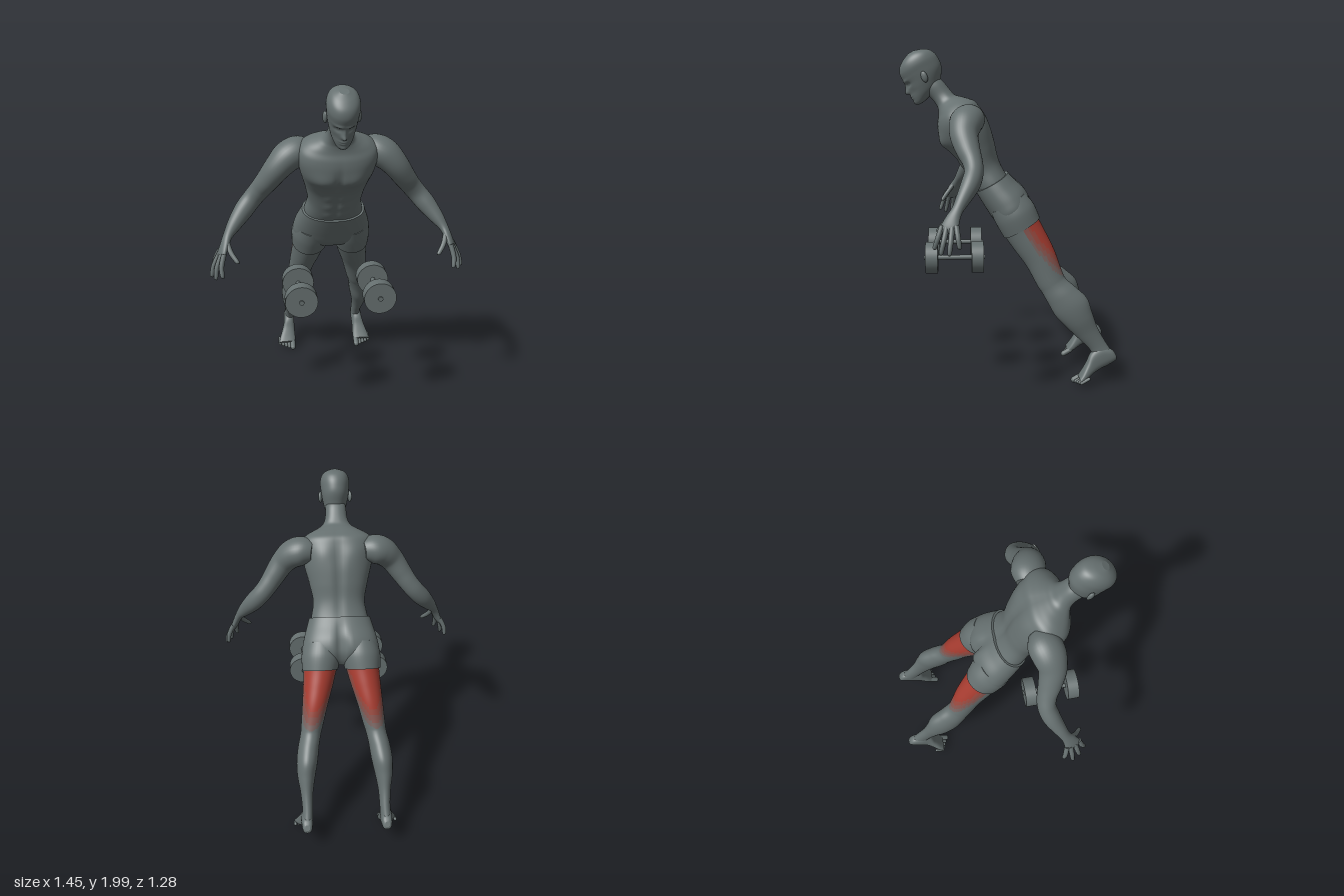
import * as THREE from 'three';

const flat = (name, color) => Object.assign(new THREE.MeshStandardMaterial({ color }), { name });
const grey = flat('grey', 0x667070);
const legColours = [grey, flat('red', 0xa63c30), flat('fadedRed', 0x96483e),
  flat('dullRed', 0x86544e), flat('greyRed', 0x76625f)];

// Catmull-Rom interpolation of rows of numbers, k steps per span
function smooth(rows, k) {
  const out = [], last = rows.length - 1;
  for (let i = 0; i < last; i++) {
    const [p, q, r, s] = [rows[Math.max(i - 1, 0)], rows[i], rows[i + 1], rows[Math.min(i + 2, last)]];
    for (let j = 0; j < k; j++) {
      const t = j / k;
      out.push(q.map((b, c) => b + 0.5 * t * (r[c] - p[c] + t * (2 * p[c] - 5 * b + 4 * r[c] - s[c]
        + t * (3 * (b - r[c]) + s[c] - p[c])))));
    }
  }
  out.push(rows[last]);
  return out;
}

// Skin a closed solid over rings of points; pick(i, j) selects a material
function skin(name, rings, pick) {
  const n = rings[0].length, m = rings.length, pos = rings.flat().flatMap(p => p.toArray());
  const buckets = legColours.map(() => []);
  let volume = 0;
  const middle = rings[m >> 1][0].clone();
  const tri = (set, a, b, c) => {
    set.push(a, b, c);
    const v = [a, b, c].map(q => new THREE.Vector3().fromArray(pos, q * 3).sub(middle));
    volume += v[0].dot(v[1].cross(v[2]));
  };
  for (let i = 0; i < m - 1; i++) for (let j = 0; j < n; j++) {
    const k = (j + 1) % n, set = buckets[pick ? pick(i, j) : 0];
    tri(set, i * n + j, (i + 1) * n + j, i * n + k);
    tri(set, i * n + k, (i + 1) * n + j, (i + 1) * n + k);
  }
  for (const end of [0, m - 1]) {
    const base = pos.length / 3, mid = new THREE.Vector3();
    rings[end].forEach(p => { mid.addScaledVector(p, 1 / n); pos.push(p.x, p.y, p.z); });
    pos.push(mid.x, mid.y, mid.z);
    for (let j = 0; j < n; j++) {
      const a = base + j, b = base + (j + 1) % n;
      end ? tri(buckets[0], a, base + n, b) : tri(buckets[0], b, base + n, a);
    }
  }
  const index = buckets.flat();
  if (volume < 0) for (let i = 0; i < index.length; i += 3) [index[i], index[i + 1]] = [index[i + 1], index[i]];
  const geo = new THREE.BufferGeometry();
  geo.setAttribute('position', new THREE.Float32BufferAttribute(pos, 3));
  geo.setIndex(index);
  geo.computeVertexNormals();
  if (pick) {
    let start = 0;
    buckets.forEach((b, i) => { geo.addGroup(start, b.length, i); start += b.length; });
  }
  const mesh = new THREE.Mesh(geo, pick ? legColours : grey);
  mesh.name = name;
  return mesh;
}

const around = n => Array.from({ length: n }, (_, j) => j / n * Math.PI * 2);
const power = (v, e) => Math.sign(v) * Math.abs(v) ** e;

// Upright solid from rows [height, centre x, back, front, half width];
// bumps are [x, height, spread x, spread y, amount, front 1 or back -1]
function upright(name, rows, { side = 1, n = 40, k = 6, e = 1, bumps = [], paint } = {}) {
  const fine = smooth(rows, k), angles = around(n);
  const rings = fine.map(([y, cx, back, front, w]) => angles.map(a => {
    const x = cx + w * power(Math.cos(a), e), s = power(Math.sin(a), e);
    let z = (back + front) / 2 + (front - back) / 2 * s;
    for (const [bx, by, sx, sy, amount, face] of bumps)
      z += face * amount * Math.sqrt(Math.max(0, s * face))
        * Math.exp(-(((Math.abs(x) - bx) / sx) ** 2) - ((y - by) / sy) ** 2);
    return new THREE.Vector3(x * side, y, z);
  }));
  return skin(name, rings, paint && ((i, j) => paint(fine[i][0], angles[j])));
}

// Limb from rows [x, y, z, radius across the palm, radius through the palm]
function limb(name, rows, side, n = 24, k = 6) {
  const fine = smooth(rows, k), point = r => new THREE.Vector3(r[0], r[1], r[2]);
  const rings = fine.map((r, i) => {
    const t = point(fine[Math.min(i + 1, fine.length - 1)]).sub(point(fine[Math.max(i - 1, 0)])).normalize();
    const a = new THREE.Vector3(0.3, 0, -1);
    a.addScaledVector(t, -a.dot(t)).normalize();
    const b = t.clone().cross(a);
    return around(n).map(q => {
      const p = point(r).addScaledVector(a, r[3] * Math.cos(q)).addScaledVector(b, r[4] * Math.sin(q));
      p.x *= side;
      return p;
    });
  });
  return skin(name, rings);
}

const torsoRows = [[1.0, 0, -.09, .12, .18], [1.1, 0, -.072, .128, .172], [1.2, 0, -.078, .134, .156],
  [1.3, 0, -.108, .136, .173], [1.38, 0, -.128, .152, .193], [1.45, 0, -.134, .165, .21],
  [1.52, 0, -.134, .152, .222], [1.57, 0, -.128, .128, .213], [1.605, 0, -.1, .1, .175],
  [1.635, 0, -.07, .085, .12], [1.66, 0, -.045, .08, .085], [1.7, 0, -.035, .085, .067],
  [1.76, 0, -.025, .1, .062], [1.8, 0, -.01, .11, .055]];
const torsoBumps = [[.09, 1.455, .07, .05, .016, 1], [0, 1.46, .015, .07, -.01, 1], [0, 1.22, .012, .12, -.007, 1],
  [.04, 1.15, .028, .025, .006, 1], [.04, 1.22, .028, .025, .006, 1], [.04, 1.29, .028, .025, .006, 1],
  [0, 1.33, .025, .2, -.014, -1], [.1, 1.47, .06, .07, .012, -1]];
const headRows = [[1.715, 0, .13, .172, .025], [1.73, 0, .07, .182, .042], [1.76, 0, 0, .183, .06],
  [1.8, 0, -.035, .179, .072], [1.84, 0, -.06, .175, .08], [1.88, 0, -.068, .178, .085],
  [1.92, 0, -.066, .175, .088], [1.955, 0, -.05, .155, .08], [1.98, 0, -.015, .118, .06], [1.997, 0, .03, .075, .025]];
const headBumps = [[0, 1.808, .014, .015, .022, 1], [0, 1.832, .01, .022, .014, 1], [.034, 1.843, .019, .013, -.014, 1],
  [.034, 1.843, .01, .007, .006, 1], [.03, 1.868, .025, .009, .006, 1], [0, 1.777, .024, .006, .007, 1],
  [0, 1.763, .02, .006, .006, 1], [0, 1.735, .02, .012, .006, 1], [.05, 1.79, .018, .025, -.005, 1]];
const pelvisRows = [[1.105, 0, -.086, .14, .184], [1.05, 0, -.1, .14, .2], [.97, 0, -.124, .138, .222],
  [.9, 0, -.118, .133, .23], [.85, 0, -.08, .11, .19], [.815, 0, -.03, .06, .1]];
const legRows = [[.96, .11, -.1, .115, .1], [.88, .118, -.115, .122, .112], [.79, .129, -.105, .122, .1],
  [.69, .146, -.1, .113, .09], [.58, .167, -.092, .1, .078], [.45, .19, -.068, .103, .067],
  [.4, .2, -.066, .1, .063], [.33, .215, -.09, .1, .064], [.24, .227, -.116, .1, .064],
  [.15, .235, -.1, .078, .054], [.05, .236, -.082, .05, .038], [-.05, .235, -.08, .025, .032], [-.13, .24, -.085, .035, .034]];
const shortsLegRows = legRows.slice(0, 3).map(([y, x, b, f, w]) => [y, x, b - .009, f + .008, w + .008]);
// Foot rows: [forward, centre x, bottom, top, half width]
const footRows = [[-.095, .24, -.165, -.13, .014], [-.08, .24, -.182, -.1, .029], [-.03, .241, -.185, -.06, .035],
  [.03, .243, -.18, -.065, .037], [.08, .25, -.179, -.1, .044], [.13, .258, -.184, -.13, .054], [.165, .264, -.182, -.148, .055]];
const armRows = [[.15, 1.6, .22, .06, .06], [.21, 1.6, .235, .093, .084], [.27, 1.575, .255, .095, .085],
  [.33, 1.515, .265, .08, .073], [.385, 1.44, .245, .068, .064], [.43, 1.38, .222, .056, .058],
  [.475, 1.325, .215, .052, .056], [.525, 1.265, .235, .052, .054], [.58, 1.195, .275, .04, .04],
  [.615, 1.145, .305, .032, .026], [.635, 1.1, .33, .04, .022], [.652, 1.055, .347, .05, .019], [.66, 1.03, .352, .044, .013]];
// Fingers: knuckle, then tip
const fingers = [[.64, 1.055, .39, .65, .94, .43], [.655, 1.045, .365, .69, .918, .395],
  [.667, 1.045, .335, .715, .918, .35], [.667, 1.055, .31, .7, .95, .295], [.615, 1.11, .345, .56, 1.018, .415]];

// Red patch on the back of the thigh, fading outwards
function thighPaint(y, a) {
  const r = Math.hypot((a - Math.PI * 1.5) / 1.7, Math.max(0, .78 - y) / .36);
  return r < .62 ? 1 : r < .74 ? 2 : r < .86 ? 3 : r < .97 ? 4 : 0;
}

function finger([x, y, z, tx, ty, tz], side) {
  const at = (t, r, out) => [x + (tx - x) * t + out, y + (ty - y) * t, z + (tz - z) * t, r, r];
  return limb('finger', [at(-.1, .015, 0), at(.45, .0145, .01), at(.85, .0125, .004), at(.96, .009, 0), at(1, .003, 0)], side, 12, 4);
}

function foot(side) {
  const group = new THREE.Group();
  group.name = 'foot';
  group.add(skin('sole', smooth(footRows, 5).map(([z, cx, low, top, w]) => around(32).map(a =>
    new THREE.Vector3(side * (cx + w * power(Math.cos(a), .8)), (low + top) / 2 + (top - low) / 2 * power(Math.sin(a), .8), z)))));
  for (let i = 0; i < 5; i++) {
    const r = i ? .0125 - i * .0006 : .018;
    const toe = new THREE.Mesh(new THREE.CapsuleGeometry(r, .05, 6, 12), grey);
    toe.name = 'toe';
    toe.rotation.set(Math.PI / 2, 0, 0);
    toe.position.set(side * (i ? .229 + i * .021 : .224), -.185 + r, .177 - i * .009);
    group.add(toe);
  }
  return group;
}

function dumbbell(side) {
  const group = new THREE.Group();
  group.name = 'dumbbell';
  const disc = (name, r, length, z) => {
    const mesh = new THREE.Mesh(new THREE.CylinderGeometry(r, r, length, 40), grey);
    mesh.name = name;
    mesh.rotation.x = Math.PI / 2;
    mesh.position.z = z;
    group.add(mesh);
  };
  disc('bar', .014, .354, 0);
  for (const s of [1, -1]) disc('weight', .092, .07, s * .133);
  group.position.set(side * .222, .8, .326);
  return group;
}

export function createModel() {
  const model = new THREE.Group();
  // Body stands upright in a frame that leans 30 degrees forward
  const body = new THREE.Group();
  body.name = 'leaningBody';
  body.rotation.x = Math.PI / 6;
  body.position.set(0, .275, -.476);
  model.add(body);
  body.add(upright('torso', torsoRows, { n: 72, e: .88, bumps: torsoBumps }));
  body.add(upright('head', headRows, { n: 112, k: 10, e: .95, bumps: headBumps }));
  body.add(upright('shorts', pelvisRows, { n: 64, e: .9, bumps: [[0, .93, .022, .1, -.04, -1]] }));
  for (const side of [1, -1]) {
    body.add(upright('leg', legRows, { side, n: 48, k: 8, paint: thighPaint }));
    body.add(upright('shortsLeg', shortsLegRows, { side }));
    body.add(foot(side));
    const ear = new THREE.Mesh(new THREE.SphereGeometry(1, 16, 12), grey);
    ear.name = 'ear';
    ear.scale.set(.012, .033, .02);
    ear.position.set(side * .089, 1.835, .055);
    ear.rotation.set(-.2, side * -.3, 0);
    body.add(ear);
    model.add(limb('arm', armRows, side, 32));
    for (const f of fingers) model.add(finger(f, side));
    model.add(dumbbell(side));
  }
  return model;
}
